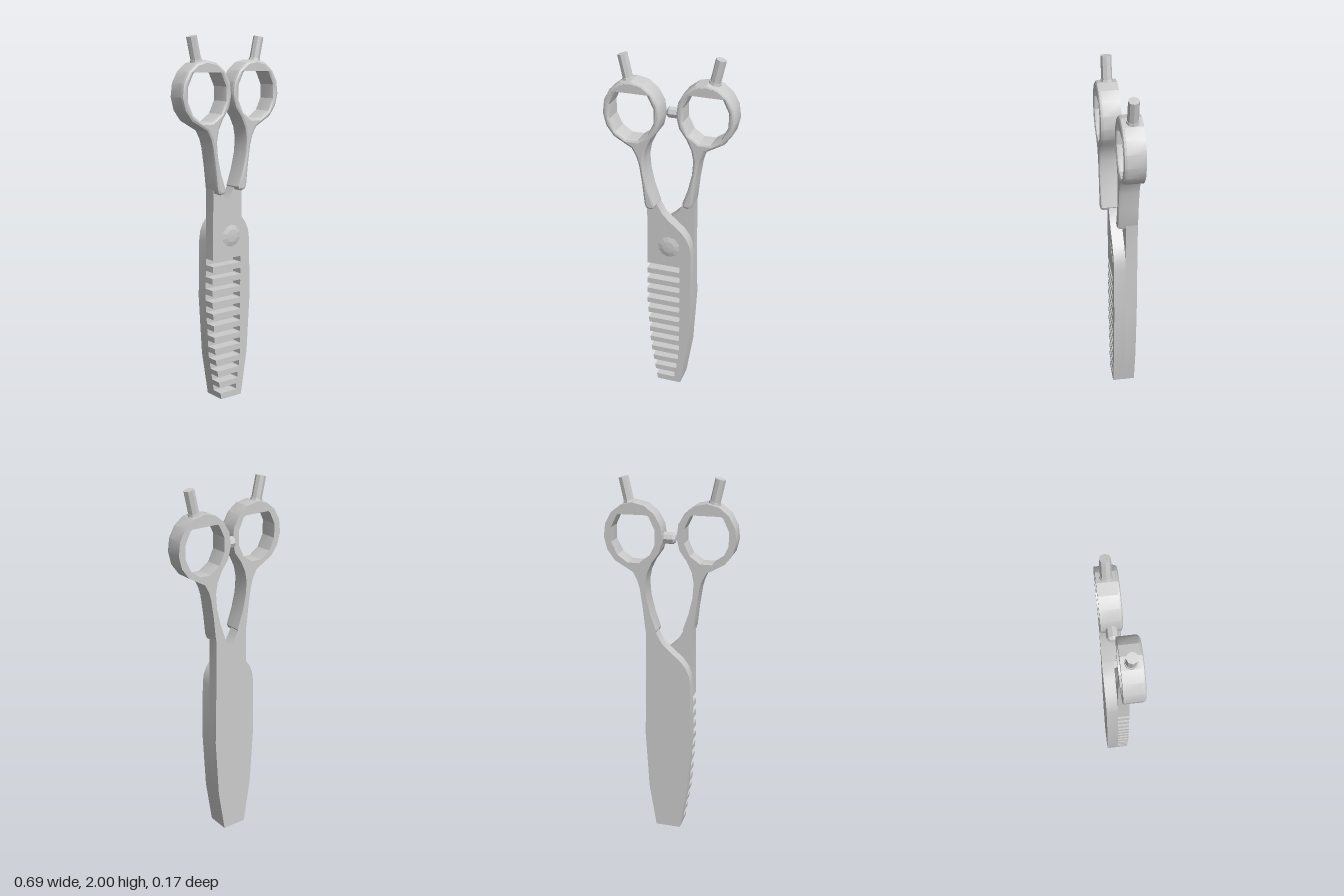
import * as THREE from 'three';
import { toCreasedNormals } from 'three/addons/utils/BufferGeometryUtils.js';

const steel = new THREE.MeshStandardMaterial({ color: 0xcccccc });
const faceted = new THREE.MeshStandardMaterial({ color: 0xcccccc, flatShading: true });

const BACK = -0.0245;  // rear plane of the front half
const STEP = 0.064;    // depth of one blade
const RING = { x: -0.187, y: 1.7 };

function mesh(name, geometry, material = steel) {
  const m = new THREE.Mesh(geometry, material);
  m.name = name;
  return m;
}

// Closed outline, mirrored in x when s = -1
const points = (list, s) => list.map(([x, y]) => new THREE.Vector2(x * s, y));

// Half width of the blade at height y
function halfWidth(y) {
  const edge = [[0, 0.07], [0.25, 0.11], [0.58, 0.13], [0.9, 0.124]];
  for (let i = 1; i < edge.length; i++) {
    const [y0, w0] = edge[i - 1], [y1, w1] = edge[i];
    if (y <= y1) return w0 + (w1 - w0) * (y - y0) / (y1 - y0);
  }
  return 0.124;
}

// Flat blade with a tang; slots are cut from one edge if it is toothed
function bladeGeometry(s, toothed) {
  const p = [
    [-0.07, 0], [0.07, 0], [0.11, 0.25], [0.13, 0.58], [0.124, 0.9], [0.117, 0.95],
    [0.1, 0.99], [0.07, 1.03], [0, 1.09], [-0.035, 1.125], [-0.066, 1.18],
    [-0.098, 1.27], [-0.131, 1.27], [-0.122, 1.18], [-0.124, 0.9],
  ];
  if (toothed) {
    const c = 0.004;
    for (let i = 0; i < 12; i++) {
      const top = 0.807 - i * 0.067, low = top - 0.035;
      const x = Math.min(0.063, halfWidth(low) - 0.04);
      p.push([-halfWidth(top), top], [x - c, top], [x, top - c],
        [x, low + c], [x - c, low], [-halfWidth(low), low]);
    }
  } else {
    p.push([-0.13, 0.58], [-0.11, 0.25]);
  }
  const geo = new THREE.ExtrudeGeometry(new THREE.Shape(points(p, s)), { depth: STEP, bevelEnabled: false });
  return toCreasedNormals(geo.translate(0, 0, BACK), 0.4);
}

// Finger ring and shank in one piece, rounded at the front and flat at the back
function gripGeometry(s) {
  const p = [], hole = [], n = 13, sides = 12;
  for (let i = 0; i <= n; i++) {
    const a = THREE.MathUtils.degToRad(-50 + 304 * i / n);
    p.push([RING.x + 0.158 * Math.cos(a), RING.y + 0.174 * Math.sin(a)]);
  }
  p.push([-0.19, 1.51], [-0.166, 1.465], [-0.153, 1.42], [-0.138, 1.32], [-0.125, 1.2],
    [-0.117, 1.175], [-0.095, 1.166], [-0.071, 1.172], [-0.065, 1.19],
    [-0.096, 1.28], [-0.117, 1.37], [-0.123, 1.45], [-0.112, 1.51]);
  // the hole runs opposite to the outline
  for (let i = 0; i < sides; i++) {
    const a = -2 * Math.PI * (i + 0.5) / sides;
    hole.push([RING.x + 0.122 * Math.cos(a), RING.y + 0.147 * Math.sin(a)]);
  }
  const shape = new THREE.Shape(points(p, s));
  shape.holes.push(new THREE.Path(points(hole, s)));
  const b = 0.013, thick = 0.016;
  const geo = new THREE.ExtrudeGeometry(shape, {
    depth: 0.109 - thick, bevelThickness: thick, bevelSize: b, bevelOffset: -b, bevelSegments: 2,
  });
  // flatten the rear bevel into the back plane
  const pos = geo.attributes.position;
  for (let i = 0; i < pos.count; i++) pos.setZ(i, Math.max(pos.getZ(i), 0) + BACK);
  return toCreasedNormals(geo, 0.42);
}

// One half of the shears: blade, grip and finger rest
function half(name, s, toothed) {
  const g = new THREE.Group();
  g.name = name;
  g.add(mesh(toothed ? 'toothedBlade' : 'plainBlade', bladeGeometry(s, toothed)));
  g.add(mesh('grip', gripGeometry(s)));

  const rest = new THREE.Group();
  rest.name = 'fingerRest';
  const stem = mesh('stem', new THREE.CylinderGeometry(0.028, 0.028, 0.15, 8), faceted);
  stem.position.y = 0.075;
  const collar = mesh('collar', new THREE.CylinderGeometry(0.031, 0.036, 0.03, 8), faceted);
  collar.position.y = 0.016;
  rest.add(stem, collar);
  rest.position.set(-0.214 * s, 1.848, 0.025);
  rest.rotation.z = 0.22 * s;
  g.add(rest);
  return g;
}

export function createModel() {
  const model = new THREE.Group();
  model.name = 'thinningShears';

  const front = half('frontHalf', 1, true);
  const rear = half('rearHalf', -1, false);
  rear.position.z = -STEP;
  model.add(front, rear);

  // low domed pivot screw
  const dome = [[0, -0.01], [0.062, -0.01], [0.062, 0.001], [0.035, 0.008], [0, 0.01]];
  const screw = mesh('pivotScrew', new THREE.LatheGeometry(points(dome, 1), 10), faceted);
  screw.rotation.x = Math.PI / 2;
  screw.position.set(0, 0.93, 0.04);
  model.add(screw);

  // bumper on the inner side of the rear ring
  const stop = [[0, -0.05], [0.031, -0.05], [0.031, 0.018], [0.019, 0.03], [0, 0.031]];
  const bumper = mesh('bumper', new THREE.LatheGeometry(points(stop, 1), 8), faceted);
  bumper.rotation.z = Math.PI / 2;
  bumper.position.set(0, 1.69, -0.035);
  model.add(bumper);

  return model;
}
